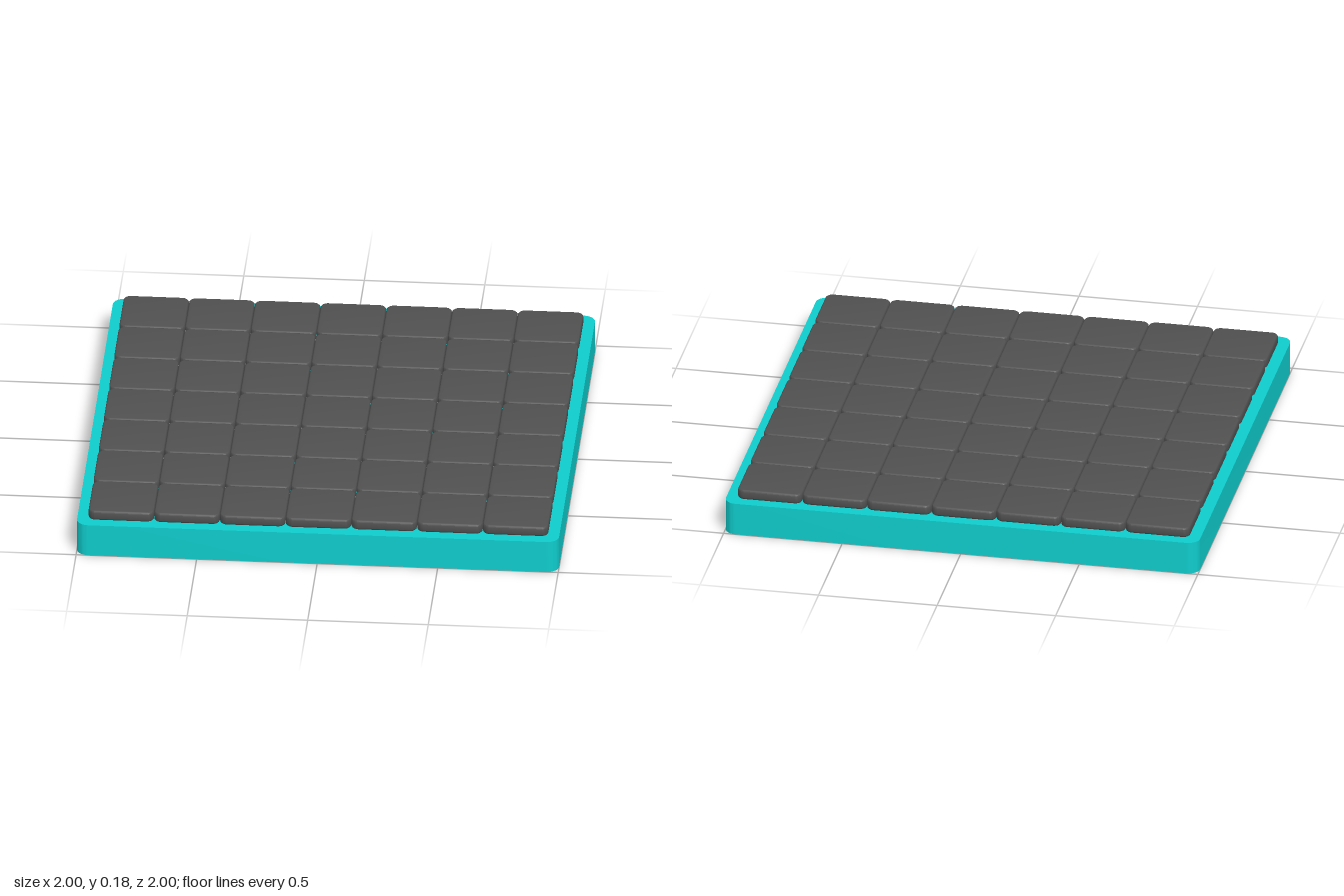
import * as THREE from 'three';
import { toCreasedNormals } from 'three/addons/utils/BufferGeometryUtils.js';

// Upright slab with rounded corners, standing on y = 0
function roundedSlab(size, height, radius, bevel) {
  const h = size / 2 - bevel;
  const r = radius - bevel;
  const shape = new THREE.Shape();
  shape.absarc(h - r, h - r, r, 0, Math.PI / 2);
  shape.absarc(r - h, h - r, r, Math.PI / 2, Math.PI);
  shape.absarc(r - h, r - h, r, Math.PI, Math.PI * 1.5);
  shape.absarc(h - r, r - h, r, Math.PI * 1.5, Math.PI * 2);
  const geometry = new THREE.ExtrudeGeometry(shape, {
    depth: height - 2 * bevel,
    curveSegments: 6,
    bevelEnabled: bevel > 0,
    bevelThickness: bevel,
    bevelSize: bevel,
    bevelSegments: 3,
  });
  geometry.translate(0, 0, bevel);
  geometry.rotateX(-Math.PI / 2);
  return toCreasedNormals(geometry, 0.7);
}

export function createModel() {
  const board = new THREE.Group();
  board.name = 'tiledBoard';

  // Base block
  const baseHeight = 0.14;
  const base = new THREE.Mesh(
    roundedSlab(2, baseHeight, 0.05, 0),
    new THREE.MeshStandardMaterial({ color: 0x0fcccc })
  );
  base.name = 'base';
  board.add(base);

  // Grid of tiles on top
  const count = 7;
  const pitch = 0.2727;
  const tileGeometry = roundedSlab(0.271, 0.042, 0.03, 0.008);
  const tileMaterial = new THREE.MeshStandardMaterial({ color: 0x505050 });
  const tiles = new THREE.Group();
  tiles.name = 'tiles';
  for (let row = 0; row < count; row++) {
    for (let column = 0; column < count; column++) {
      const tile = new THREE.Mesh(tileGeometry, tileMaterial);
      tile.name = `tile${row + 1}x${column + 1}`;
      tile.position.set(
        (column - (count - 1) / 2) * pitch,
        baseHeight,
        (row - (count - 1) / 2) * pitch
      );
      tiles.add(tile);
    }
  }
  board.add(tiles);
  return board;
}
